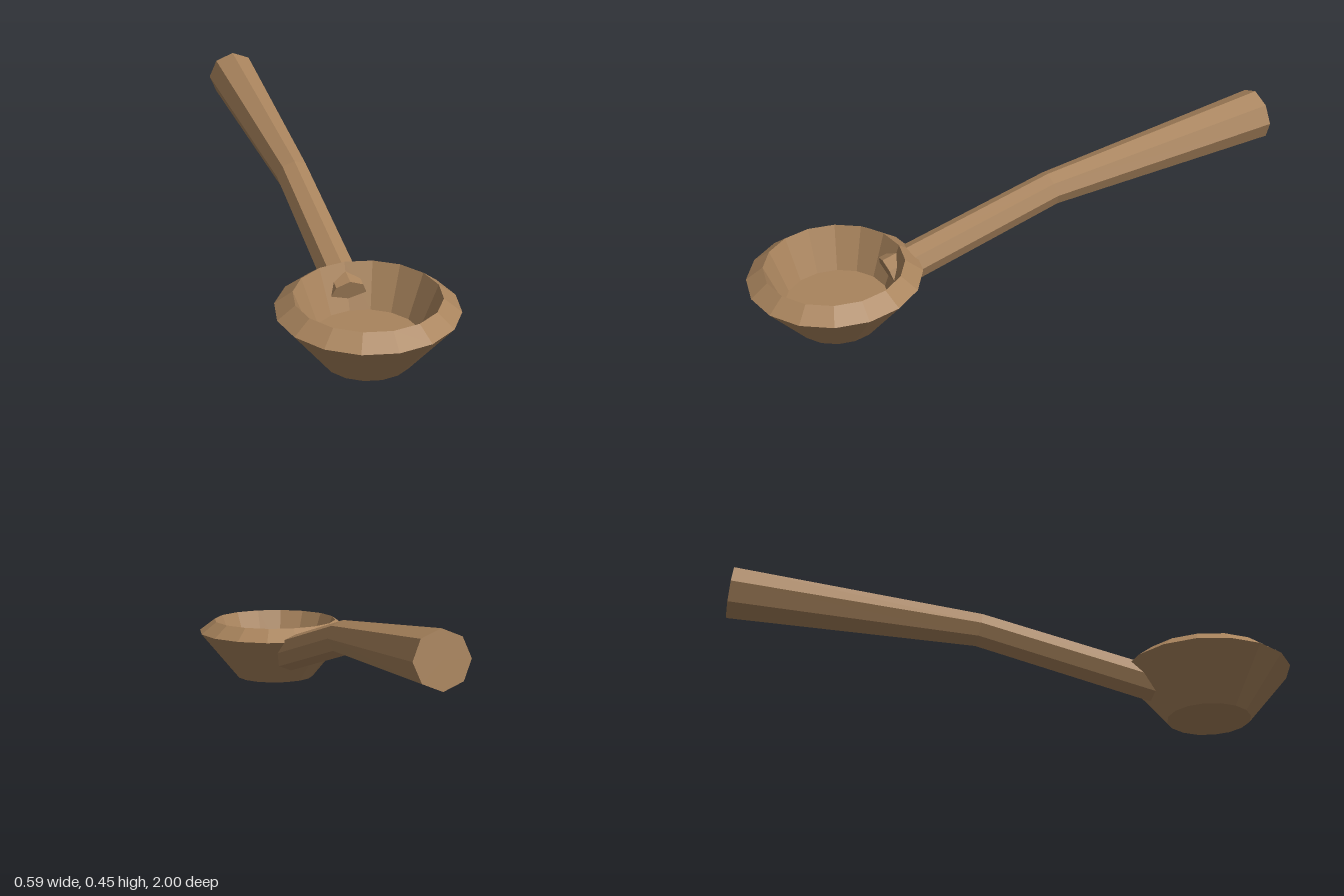
import * as THREE from 'three';

export function createModel() {
  const group = new THREE.Group();
  const wood = new THREE.MeshStandardMaterial({ color: 0xa9845d, flatShading: true });

  // Hollow bowl with a bevelled rim: outside, rim, inside, floor
  const profile = [
    [0, 0], [0.148, 0], [0.297, 0.18], [0.238, 0.225], [0.178, 0.075], [0, 0.075],
  ].map(([r, y]) => new THREE.Vector2(r, y));
  const bowl = new THREE.Mesh(new THREE.LatheGeometry(profile, 16), wood);
  bowl.name = 'bowl';
  bowl.position.z = 0.703;
  group.add(bowl);

  // Bent handle: an octagonal cylinder whose three rings are placed along the bend
  const rings = [
    { y: 0.12, z: 0.512, r: 0.065, tilt: 0.26 },
    { y: 0.284, z: -0.12, r: 0.061, tilt: 0.17 },
    { y: 0.358, z: -0.99, r: 0.094, tilt: 0.1 },
  ];
  const geometry = new THREE.CylinderGeometry(1, 1, 1, 8, 2);
  const pos = geometry.attributes.position;
  for (let i = 0; i < pos.count; i++) {
    const ring = rings[Math.round((pos.getY(i) + 0.5) * 2)];
    const across = pos.getX(i) * ring.r;
    const up = pos.getZ(i) * ring.r;
    pos.setXYZ(i, across, ring.y + up * Math.cos(ring.tilt), ring.z + up * Math.sin(ring.tilt));
  }
  geometry.computeVertexNormals();
  const handle = new THREE.Mesh(geometry, wood);
  handle.name = 'handle';
  group.add(handle);

  return group;
}
